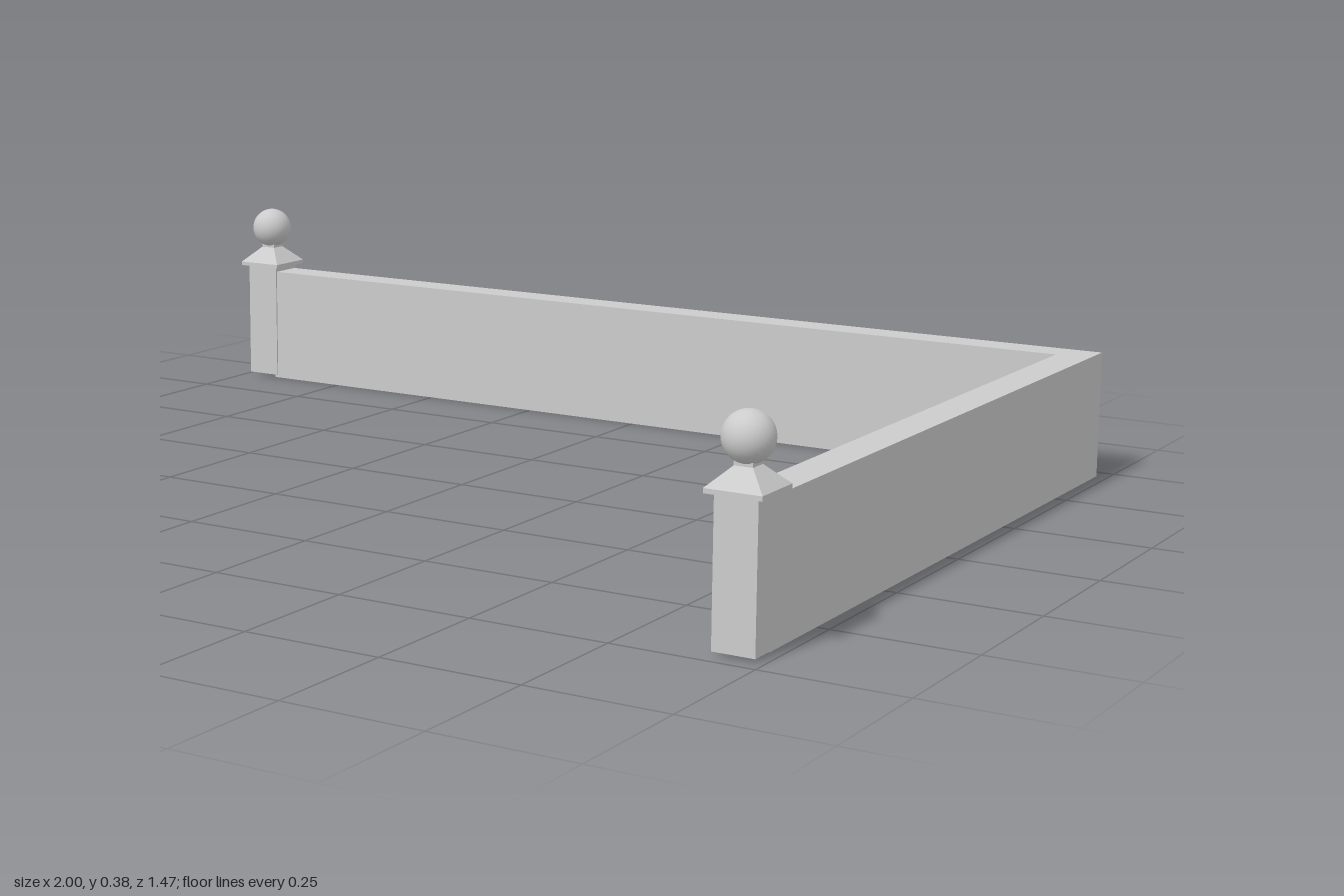
import * as THREE from 'three';

const flat = new THREE.MeshStandardMaterial({ color: 0xcccccc, flatShading: true, side: THREE.DoubleSide });
const smooth = new THREE.MeshStandardMaterial({ color: 0xcccccc });

function add(parent, name, geometry, material, y = 0) {
  const mesh = new THREE.Mesh(geometry, material);
  mesh.name = name;
  mesh.position.y = y;
  parent.add(mesh);
}

// Square profile turned about y: pairs of half width and height, bottom to top
function squareLathe(pairs) {
  const points = pairs.map(([half, y]) => new THREE.Vector2(half * Math.SQRT2, y));
  return new THREE.LatheGeometry(points, 4, Math.PI / 4).toNonIndexed();
}

function createPost(name, x, z) {
  const post = new THREE.Group();
  post.name = name;
  post.position.set(x, 0, z);
  // Hollow shaft, open underneath
  add(post, 'postShaft', squareLathe([[0.037, 0.006], [0.037, 0.25]]), flat);
  // Square cap with a thin rim and a pyramid rising to the ball
  add(post, 'postCap', squareLathe([[0, 0.25], [0.049, 0.25], [0.049, 0.258], [0.016, 0.29], [0.016, 0.298], [0, 0.298]]), flat);
  add(post, 'postBall', new THREE.SphereGeometry(0.042, 32, 20), smooth, 0.333);
  return post;
}

export function createModel() {
  const model = new THREE.Group();
  model.name = 'cornerWall';

  // L-shaped outline of the wall as x, z
  const height = 0.24;
  const outline = [[-0.92, -0.716], [0.978, -0.716], [0.978, 0.659], [0.912, 0.659], [0.912, -0.65], [-0.92, -0.65]];

  // Wall sides: one upright panel per outline edge, open underneath
  const sides = [];
  outline.forEach(([ax, az], i) => {
    const [bx, bz] = outline[(i + 1) % outline.length];
    sides.push(ax, 0, az, ax, height, az, bx, height, bz);
    sides.push(ax, 0, az, bx, height, bz, bx, 0, bz);
  });
  const sideGeometry = new THREE.BufferGeometry();
  sideGeometry.setAttribute('position', new THREE.Float32BufferAttribute(sides, 3));
  sideGeometry.computeVertexNormals();
  add(model, 'wallSides', sideGeometry, flat);

  // Wall top
  const shape = new THREE.Shape(outline.map(([x, z]) => new THREE.Vector2(x, -z)));
  add(model, 'wallTop', new THREE.ShapeGeometry(shape).rotateX(-Math.PI / 2), flat, height);

  // End posts
  model.add(createPost('backPost', -0.95, -0.684));
  model.add(createPost('frontPost', 0.948, 0.684));
  return model;
}
